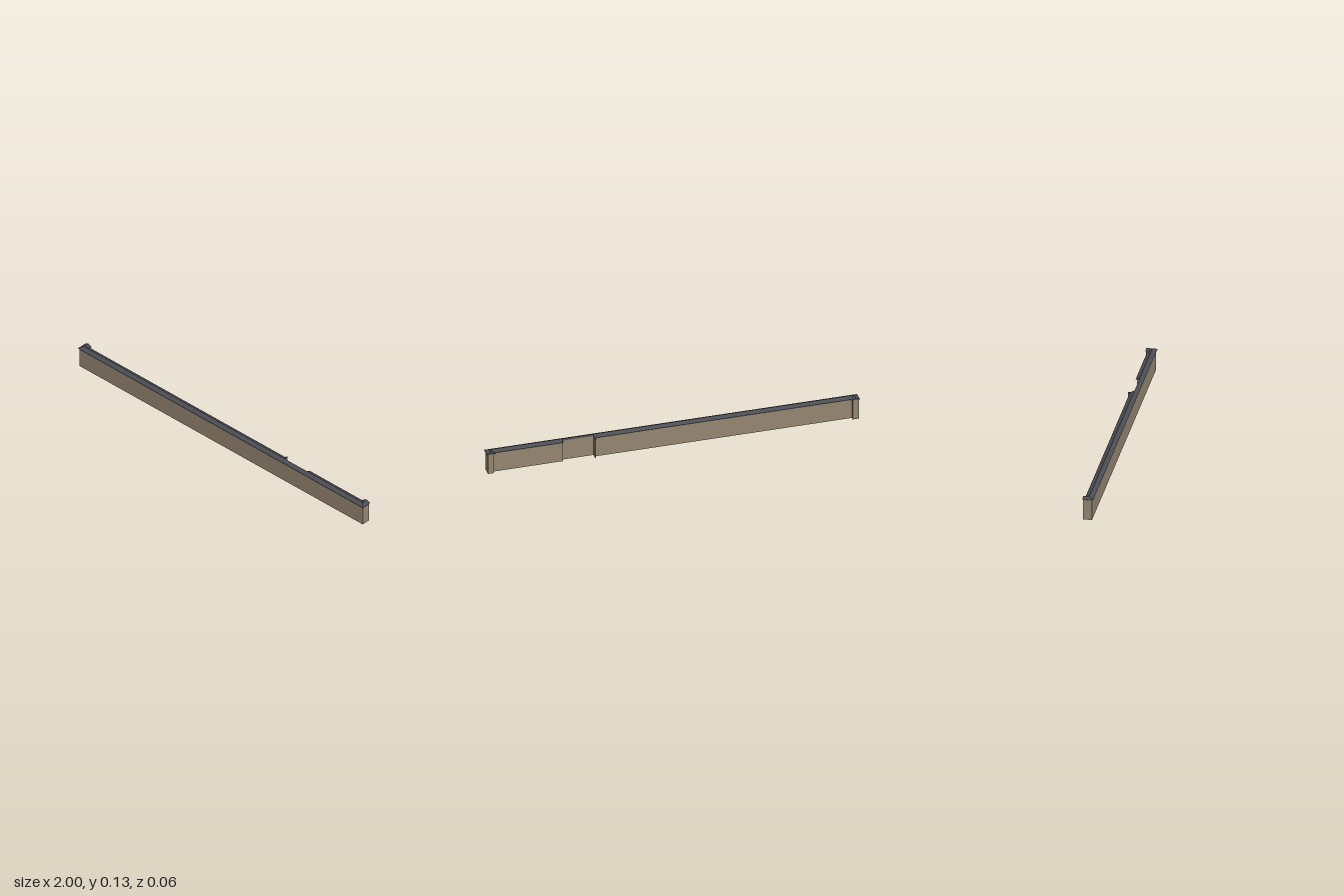
import * as THREE from 'three';

const EAVE = 0.115, RIDGE = 0.126;
const GAP = [0.42, 0.587]; // recessed bay along x

export function createModel() {
  const group = new THREE.Group();
  const stone = new THREE.MeshStandardMaterial({ color: 0x978672 });
  stone.name = 'tan stone';
  const slate = new THREE.MeshStandardMaterial({ color: 0x4b4d55 });
  slate.name = 'dark slate';

  const add = (name, geometry, material) => {
    const mesh = new THREE.Mesh(geometry, material);
    mesh.name = name;
    group.add(mesh);
  };

  // Wall: long plan with a short return at each end and a thinner bay
  const plan = [
    [-0.993, 0.021], [0.993, 0.021], [0.993, -0.027], [0.961, -0.027],
    [0.961, -0.011], [GAP[1], -0.011], [GAP[1], 0.005], [GAP[0], 0.005],
    [GAP[0], -0.011], [-0.961, -0.011], [-0.961, -0.027], [-0.993, -0.027],
  ];
  const shape = new THREE.Shape(plan.map(([x, z]) => new THREE.Vector2(x, -z)));
  const wall = new THREE.ExtrudeGeometry(shape, { depth: EAVE - 0.001, bevelEnabled: false });
  wall.rotateX(-Math.PI / 2).translate(0, 0.001, 0);
  add('wall', wall, stone);

  // Coping: triangular section swept round the plan, mitred at the corners
  const section = (outer, ridge, inner) => [
    new THREE.Vector3(outer[0], EAVE, outer[1]),
    new THREE.Vector3(ridge[0], RIDGE, ridge[1]),
    new THREE.Vector3(inner[0], EAVE, inner[1]),
  ];
  const end = (s) => section([s, -0.028], [s * 0.977, -0.028], [s * 0.954, -0.028]);
  const corner = (s) => section([s, 0.028], [s * 0.977, 0.005], [s * 0.954, -0.018]);
  const along = (x, back) => section([x, 0.028], [x, 0.005], [x, back]);
  const sections = [
    end(-1), corner(-1),
    along(GAP[0], -0.018), along(GAP[0], 0.004),
    along(GAP[1], 0.004), along(GAP[1], -0.018),
    corner(1), end(1),
  ];
  const points = [];
  for (let i = 0; i < sections.length - 1; i++) {
    const a = sections[i], b = sections[i + 1];
    for (let j = 0; j < 3; j++) {
      const k = (j + 1) % 3;
      points.push(a[j], b[j], b[k], a[j], b[k], a[k]);
    }
  }
  const first = sections[0], last = sections[sections.length - 1];
  points.push(first[0], first[1], first[2], last[0], last[2], last[1]);
  const coping = new THREE.BufferGeometry().setFromPoints(points);
  coping.computeVertexNormals();
  add('coping', coping, slate);

  // Thin fin beside the bay, with its own small cap
  add('fin', new THREE.BoxGeometry(0.005, 0.11, 0.017).translate(0.4175, 0.055, -0.0185), stone);
  add('finCap', new THREE.BoxGeometry(0.007, 0.005, 0.018).translate(0.4175, 0.1125, -0.019), slate);

  return group;
}
